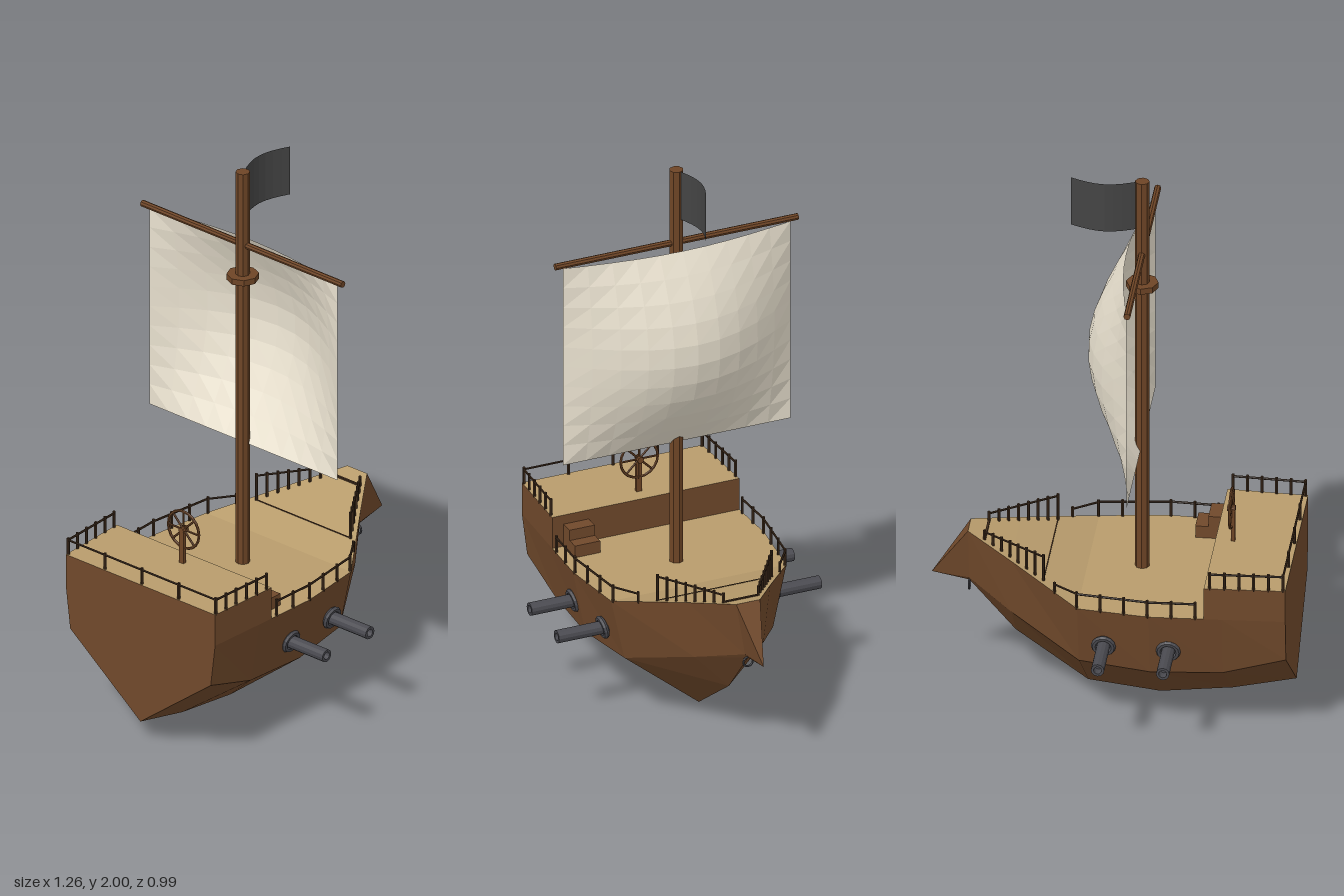
import * as THREE from 'three';

const mat = (color, double = false) => new THREE.MeshStandardMaterial({
  color, flatShading: true, side: double ? THREE.DoubleSide : THREE.FrontSide,
});
const wood = mat(0x70492b), darkWood = mat(0x3d2a1b), mastWood = mat(0x6e4526);
const planks = mat(0xb89c6c), iron = mat(0x4a4a50);
const cloth = mat(0xeae2d0, true), flagCloth = mat(0x444444, true);
const V = (x, y, z) => new THREE.Vector3(x, y, z);

function add(parent, name, geometry, material, x = 0, y = 0, z = 0) {
  const m = new THREE.Mesh(geometry, material);
  m.name = name;
  m.position.set(x, y, z);
  parent.add(m);
  return m;
}

// Round bar between two points
function bar(parent, name, a, b, r, material, sides = 6) {
  const m = add(parent, name, new THREE.CylinderGeometry(r, r, a.distanceTo(b), sides), material);
  m.position.copy(a).add(b).multiplyScalar(0.5);
  m.quaternion.setFromUnitVectors(V(0, 1, 0), b.clone().sub(a).normalize());
  return m;
}

// Triangle soup from quads (corners counter-clockwise seen from outside)
function quads(list) {
  const pos = [];
  for (const [a, b, c, d] of list)
    for (const p of [a, b, c, a, c, d]) pos.push(p.x, p.y, p.z);
  const g = new THREE.BufferGeometry();
  g.setAttribute('position', new THREE.Float32BufferAttribute(pos, 3));
  g.computeVertexNormals();
  return g;
}

// Hull stations: x, keel y, chine y, chine half width, top y, top half width
const stations = [
  [-0.63, 0.08, 0.33, 0.32, 0.49, 0.34],
  [-0.41, 0.03, 0.26, 0.31, 0.49, 0.35],
  [-0.16, 0, 0.25, 0.315, 0.49, 0.36],
  [0.09, 0.03, 0.26, 0.28, 0.49, 0.33],
  [0.34, 0.21, 0.35, 0.13, 0.565, 0.155],
  [0.5, 0.395, 0.41, 0.012, 0.61, 0.045],
];

// Interpolate the sheer line: returns [y, half width] of the deck edge
function sheer(x) {
  let i = 0;
  while (i < stations.length - 2 && x > stations[i + 1][0]) i++;
  const a = stations[i], b = stations[i + 1], t = (x - a[0]) / (b[0] - a[0]);
  return [a[4] + (b[4] - a[4]) * t, a[5] + (b[5] - a[5]) * t];
}

function buildHull(ship) {
  const rings = stations.map(([x, k, cy, cw, ty, tw]) =>
    [V(x, ty, tw), V(x, cy, cw), V(x, k, 0), V(x, cy, -cw), V(x, ty, -tw)]);
  const side = [], deck = [], beak = [];
  for (let s = 0; s < rings.length - 1; s++) {
    const p = rings[s], q = rings[s + 1];
    for (let i = 0; i < 4; i++) side.push([p[i], p[i + 1], q[i + 1], q[i]]);
    deck.push([p[4], p[0], q[0], q[4]]);
  }
  const t = rings[0], last = rings[5], tip = V(0.63, 0.42, 0);
  side.push([t[0], t[4], t[3], t[1]], [t[1], t[3], t[2], t[2]]);
  for (let i = 0; i < 5; i++) beak.push([last[i], last[(i + 1) % 5], tip, tip]);
  add(ship, 'hull', quads(side), wood);
  add(ship, 'deck', quads(deck), planks);
  add(ship, 'beak', quads(beak), wood);
  const ring = add(ship, 'bowRing', new THREE.TorusGeometry(0.018, 0.004, 6, 12), iron, 0.5, 0.38, 0);
  ring.rotation.y = Math.PI / 2;
}

function buildQuarterdeck(ship) {
  const top = 0.61, walls = [], floor = [];
  const xs = [-0.63, -0.41, -0.35];
  const P = (x, y, s) => V(x, y, s * sheer(x)[1]);
  for (let i = 0; i < 2; i++) {
    const a = xs[i], b = xs[i + 1];
    walls.push([P(a, top, 1), P(a, 0.49, 1), P(b, 0.49, 1), P(b, top, 1)]);
    walls.push([P(a, 0.49, -1), P(a, top, -1), P(b, top, -1), P(b, 0.49, -1)]);
    floor.push([P(a, top, -1), P(a, top, 1), P(b, top, 1), P(b, top, -1)]);
  }
  const a = xs[0], b = xs[2];
  walls.push([P(a, top, 1), P(a, top, -1), P(a, 0.49, -1), P(a, 0.49, 1)]);
  walls.push([P(b, top, -1), P(b, top, 1), P(b, 0.49, 1), P(b, 0.49, -1)]);
  add(ship, 'quarterdeckWalls', quads(walls), wood);
  add(ship, 'quarterdeckFloor', quads(floor), planks);
  // Two steps up from the main deck
  [[-0.325, 0.575], [-0.28, 0.535]].forEach(([x, y]) => {
    add(ship, 'step', new THREE.BoxGeometry(0.05, y - 0.49, 0.095), wood, x, (y + 0.49) / 2, 0.262);
  });
}

// Handrail through points, with posts standing on the deck below
function railing(ship, name, pts, postPts, baseY) {
  const g = new THREE.Group();
  g.name = name;
  for (let i = 0; i < pts.length - 1; i++) bar(g, 'handrail', pts[i], pts[i + 1], 0.004, darkWood);
  for (const p of postPts)
    bar(g, 'post', V(p.x, baseY(p.x) - 0.005, p.z), V(p.x, p.y + 0.008, p.z), 0.0055, darkWood);
  ship.add(g);
}

function buildRailings(ship) {
  const range = (a, b, n) => Array.from({ length: n }, (_, i) => a + (b - a) * i / (n - 1));
  const deckY = x => sheer(x)[0];
  for (const s of [1, -1]) {
    const at = y => x => V(x, y, s * (sheer(x)[1] - 0.004));
    railing(ship, 'sternSideRailing', [-0.622, -0.41, -0.37].map(at(0.664)),
      range(-0.622, -0.37, 6).map(at(0.664)), () => 0.61);
    railing(ship, 'mainRailing', [-0.32, -0.16, 0.09, 0.175].map(at(0.545)),
      range(-0.32, 0.175, 7).map(at(0.545)), deckY);
    const fore = range(0.22, 0.44, 8).map(x => V(x, 0.622, s * (0.215 - (x - 0.22) * 0.68)));
    railing(ship, 'foreRailing', [fore[0], fore[7]], fore, deckY);
  }
  const stern = range(-0.335, 0.335, 5).map(z => V(-0.622, 0.664, z));
  railing(ship, 'sternRailing', [stern[0], stern[4]], stern, () => 0.61);
  // Foredeck trim strips
  add(ship, 'foredeckTrim', new THREE.BoxGeometry(0.008, 0.008, 0.13), darkWood, 0.44, 0.594, 0);
  add(ship, 'foredeckTrim', new THREE.BoxGeometry(0.004, 0.004, 0.44), darkWood, 0.22, 0.529, 0);
}

function buildRig(ship) {
  const mx = -0.097;
  bar(ship, 'mast', V(mx, 0.45, 0), V(mx, 2, 0), 0.025, mastWood, 8);
  add(ship, 'mastCollar', new THREE.CylinderGeometry(0.056, 0.056, 0.022, 8), mastWood, mx, 1.595, 0);
  bar(ship, 'yard', V(mx, 1.72, -0.457), V(mx, 1.72, 0.457), 0.012, mastWood, 8);

  // Billowing sail
  const sail = new THREE.PlaneGeometry(0.856, 0.76, 10, 10);
  sail.rotateY(Math.PI / 2);
  const p = sail.attributes.position;
  for (let i = 0; i < p.count; i++) {
    const v = p.getY(i) / 0.76 + 0.5;
    const across = Math.cos(Math.PI * p.getZ(i) / 0.856);
    p.setX(i, across * (0.155 * Math.sin(Math.PI * v) + 0.05 * v));
  }
  sail.computeVertexNormals();
  add(ship, 'sail', sail, cloth, -0.092, 1.33, 0);

  // Curved flag
  const flag = new THREE.PlaneGeometry(0.24, 0.185, 8, 1);
  const f = flag.attributes.position;
  for (let i = 0; i < f.count; i++)
    f.setZ(i, -0.036 * Math.sin(Math.PI * (f.getX(i) / 0.24 + 0.5)));
  flag.computeVertexNormals();
  add(ship, 'flag', flag, flagCloth, 0.03, 1.907, 0);
}

function buildWheel(ship) {
  const wheel = new THREE.Group();
  wheel.name = 'steeringWheel';
  wheel.position.set(-0.405, 0.735, 0);
  add(wheel, 'rim', new THREE.TorusGeometry(0.07, 0.005, 6, 20), mastWood).rotation.y = Math.PI / 2;
  for (let i = 0; i < 4; i++) {
    const a = i * Math.PI / 4, d = V(0, Math.cos(a) * 0.072, Math.sin(a) * 0.072);
    bar(wheel, 'spoke', d.clone().negate(), d, 0.004, mastWood);
  }
  bar(wheel, 'hub', V(-0.014, 0, 0), V(0.014, 0, 0), 0.012, mastWood, 8);
  add(wheel, 'post', new THREE.BoxGeometry(0.014, 0.13, 0.02), mastWood, -0.006, -0.06, 0);
  ship.add(wheel);
}

function buildCannons(ship) {
  // Barrel with a hollow muzzle, turned around its own axis
  const profile = [[0, 0], [0.023, 0], [0.023, 0.225], [0.014, 0.225], [0.014, 0.19], [0, 0.19]]
    .map(([r, y]) => new THREE.Vector2(r, y));
  for (const s of [1, -1]) for (const x of [-0.225, 0]) {
    const g = new THREE.Group();
    g.name = 'cannon';
    g.position.set(x, 0.345, s * 0.27);
    add(g, 'barrel', new THREE.LatheGeometry(profile, 12), iron).rotation.x = s * Math.PI / 2;
    add(g, 'portRing', new THREE.TorusGeometry(0.033, 0.01, 6, 14), iron, 0, 0, s * (x ? 0.062 : 0.052))
      .rotation.x = s * 0.2;
    ship.add(g);
  }
}

export function createModel() {
  const ship = new THREE.Group();
  ship.name = 'sailingShip';
  buildHull(ship);
  buildQuarterdeck(ship);
  buildRailings(ship);
  buildRig(ship);
  buildWheel(ship);
  buildCannons(ship);
  return ship;
}
